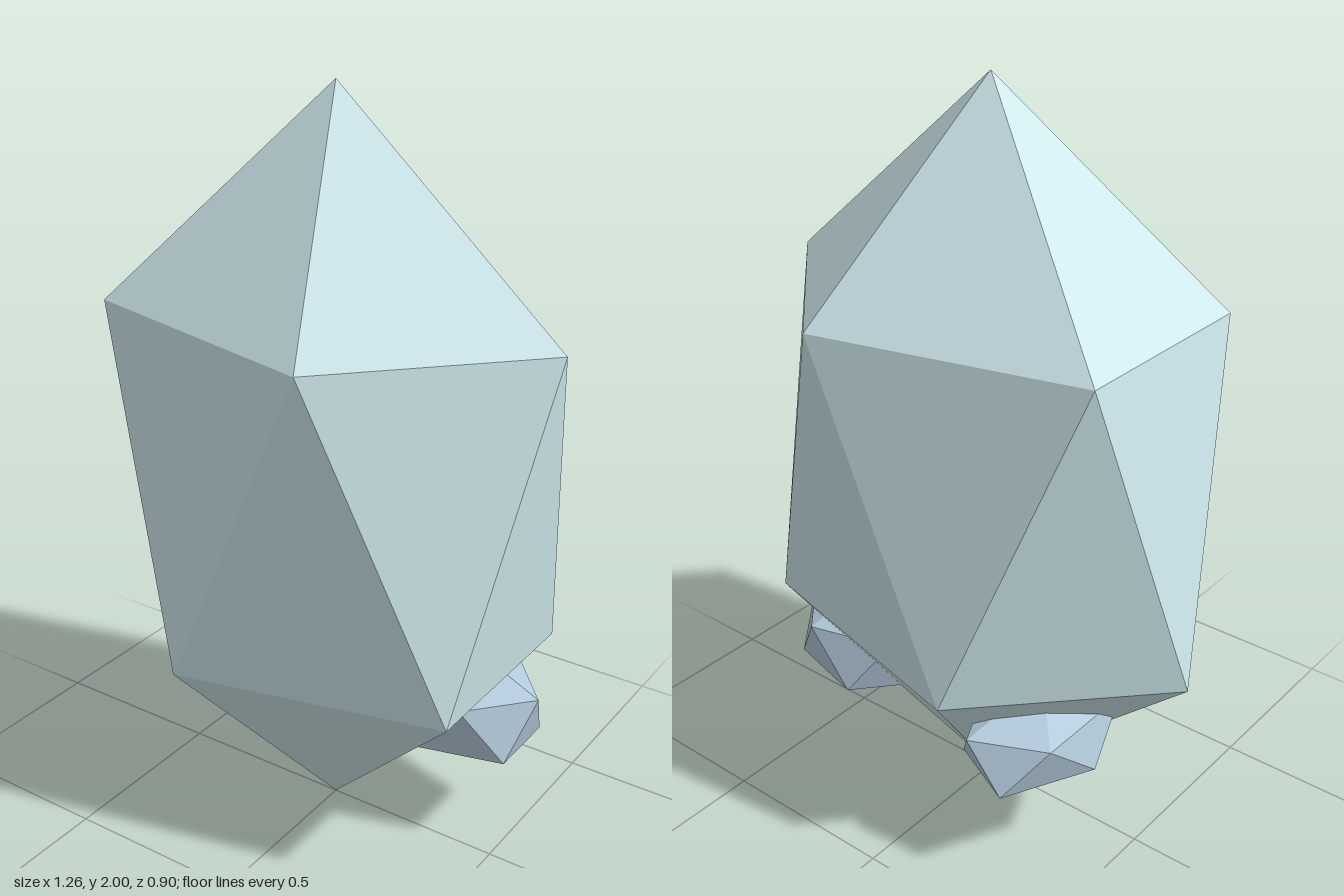
import * as THREE from 'three';

// Twenty-sided gem standing on a point: two apexes and two staggered rings of five
function gemGeometry() {
  const ringY = 1 / Math.sqrt(5), ringR = 2 / Math.sqrt(5);
  const ring = (y, offset) => Array.from({ length: 5 }, (_, i) => {
    const t = (i + offset) * Math.PI * 2 / 5;
    return new THREE.Vector3(Math.cos(t) * ringR, y, -Math.sin(t) * ringR);
  });
  const top = new THREE.Vector3(0, 1, 0), bottom = new THREE.Vector3(0, -1, 0);
  const upper = ring(ringY, 0), lower = ring(-ringY, 0.5);
  const points = [];
  for (let i = 0; i < 5; i++) {
    const j = (i + 1) % 5;
    points.push(top, upper[i], upper[j]);
    points.push(upper[i], lower[i], upper[j]);
    points.push(lower[i], lower[j], upper[j]);
    points.push(bottom, lower[j], lower[i]);
  }
  return new THREE.BufferGeometry().setFromPoints(points);
}

function makeGem(name, color, center, ringRadiusX, halfHeight, ringRadiusZ) {
  const k = Math.sqrt(5) / 2; // ring radius to full radius
  const geometry = gemGeometry();
  geometry.scale(ringRadiusX * k, halfHeight, ringRadiusZ * k);
  geometry.computeVertexNormals();
  const mesh = new THREE.Mesh(geometry, new THREE.MeshStandardMaterial({ color, flatShading: true }));
  mesh.name = name;
  mesh.position.set(...center);
  return mesh;
}

export function createModel() {
  const group = new THREE.Group();
  group.name = 'crystalCluster';
  // Tall main crystal
  group.add(makeGem('mainCrystal', 0xd0eaee, [0, 1, 0], 0.63, 1, 0.473));
  // Small crystals growing from the lower sides
  group.add(makeGem('leftSmallCrystal', 0xb4cbdc, [0.35, 0.37, -0.115], 0.21, 0.175, 0.173));
  group.add(makeGem('rightSmallCrystal', 0xb4cbdc, [-0.27, 0.355, -0.123], 0.175, 0.145, 0.255));
  return group;
}
